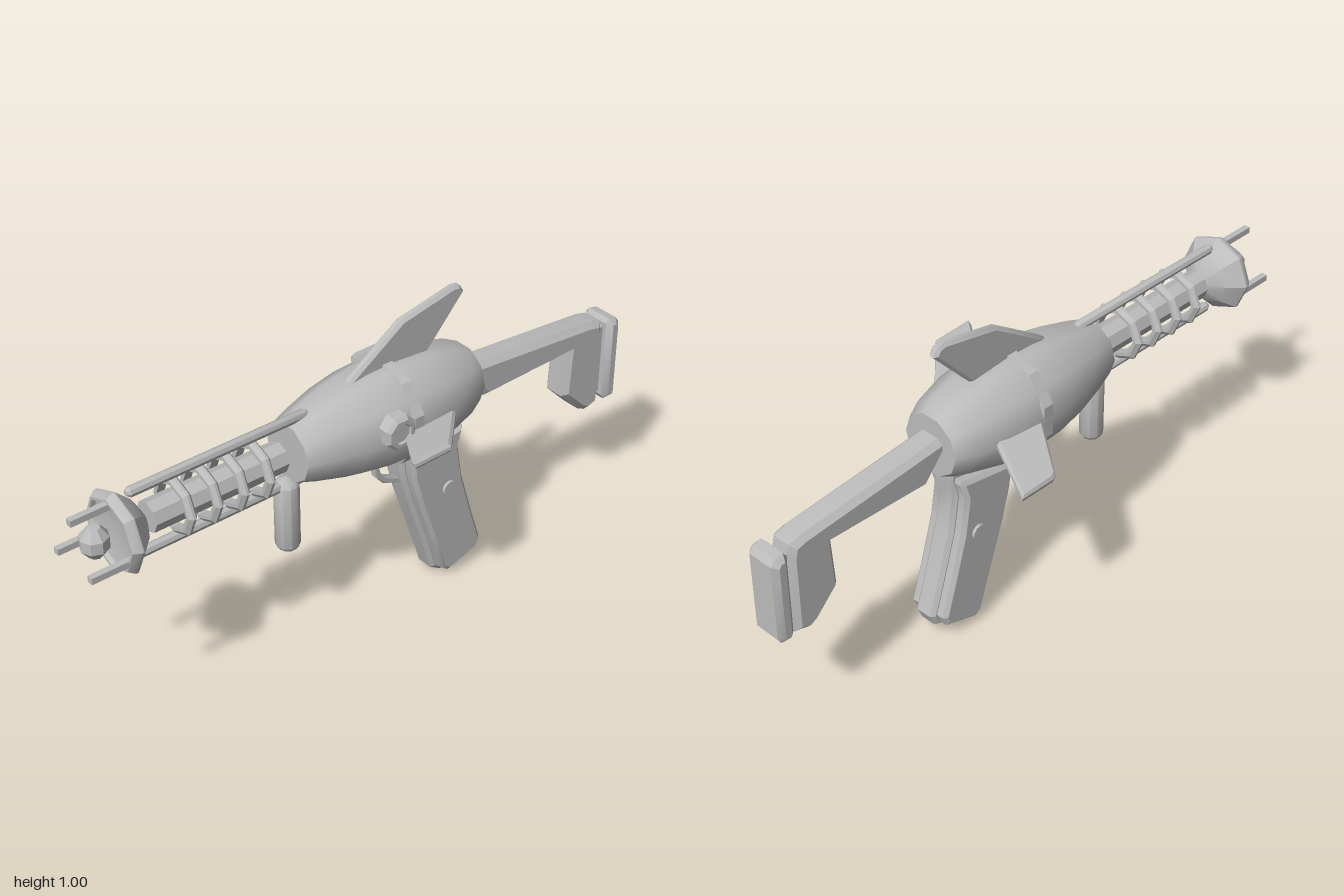
import * as THREE from 'three';
import { toCreasedNormals } from 'three/addons/utils/BufferGeometryUtils.js';

const AXIS_Y = 0.68; // height of the barrel axis
const V = (x, y, z) => new THREE.Vector3(x, y, z);

export function createModel() {
  const model = new THREE.Group();
  model.name = 'rayGun';
  const grey = new THREE.MeshStandardMaterial({ color: 0xbcbcbc });
  grey.name = 'light grey metal';

  const add = (name, geometry, crease = 0.5) => {
    const mesh = new THREE.Mesh(toCreasedNormals(geometry, crease), grey);
    mesh.name = name;
    model.add(mesh);
    return mesh;
  };

  const lathe = (profile, sides, start = 0) =>
    new THREE.LatheGeometry(profile.map(([r, h]) => new THREE.Vector2(r, h)), sides, start);

  // Turned part along z: profile is [radius, z] from back to front
  const turned = (name, profile, sides, crease, y = AXIS_Y, start = Math.PI / 2) =>
    add(name, lathe(profile, sides, start).rotateX(Math.PI / 2).translate(0, y, 0), crease);

  // Bevelled plate: outline in the (u, v) plane, centred on origin along its normal
  const plate = (name, points, thickness, bevel, u = V(0, 0, 1), v = V(0, 1, 0), origin = V(0, 0, 0)) => {
    const shape = new THREE.Shape(points.map(([a, b]) => new THREE.Vector2(a, b)));
    const depth = thickness - 2 * bevel;
    const g = new THREE.ExtrudeGeometry(shape, {
      depth, bevelEnabled: true, bevelThickness: bevel, bevelSize: bevel, bevelOffset: -bevel, bevelSegments: 1,
    });
    g.translate(0, 0, -depth / 2);
    const m = new THREE.Matrix4().makeBasis(u, v, u.clone().cross(v)).setPosition(origin);
    return add(name, g.applyMatrix4(m), 0.45);
  };

  // Main body, and a band turned half a facet so only its corners stand out
  turned('body', [[0, -0.38], [0.1, -0.38], [0.125, -0.33], [0.154, -0.22], [0.165, -0.09],
    [0.161, 0.01], [0.145, 0.11], [0.118, 0.21], [0.094, 0.28], [0, 0.28]], 10, 0.72);
  turned('bodyBand', [[0.15, -0.095], [0.169, -0.09], [0.169, -0.055], [0.15, -0.05]], 10, 0.3, AXIS_Y, 0);

  // Barrel core and cooling hoops standing clear of it
  turned('barrelCore', [[0, 0.31], [0.048, 0.31], [0.048, 0.76], [0, 0.76]], 8, 0.3);
  for (let i = 0; i < 4; i++) {
    const z = 0.4 + i * 0.089;
    turned('coolingHoop', [[0.07, z - 0.014], [0.082, z - 0.014], [0.095, z - 0.004],
      [0.095, z + 0.004], [0.082, z + 0.014], [0.07, z + 0.014], [0.07, z - 0.014]], 8, 0.3);
  }

  // Rods above and below the barrel
  for (const y of [AXIS_Y + 0.106, AXIS_Y - 0.106]) {
    turned('barrelRod', [[0, 0.21], [0.009, 0.21], [0.016, 0.222], [0.016, 0.81], [0.009, 0.82], [0, 0.82]], 8, 0.5, y);
  }

  // Shallow emitter dish, with prongs around a faceted bulb
  turned('emitterDish', [[0, 0.772], [0.028, 0.775], [0.08, 0.805], [0.126, 0.853], [0.126, 0.862],
    [0.113, 0.882], [0.104, 0.882], [0.098, 0.87], [0, 0.85]], 8, 0.55);
  for (let i = 0; i < 3; i++) {
    const a = Math.PI / 2 + (i * Math.PI * 2) / 3;
    const g = new THREE.BoxGeometry(0.02, 0.02, 0.15);
    add('emitterProng', g.translate(Math.cos(a) * 0.094, AXIS_Y + Math.sin(a) * 0.094, 0.925));
  }
  add('emitterBulb', lathe([[0, -0.049], [0.02, -0.047], [0.043, -0.018], [0.043, 0.018], [0.02, 0.047], [0, 0.049]], 8)
    .translate(0, AXIS_Y, 0.928), 0.2);

  // Front grip
  add('foreGrip', lathe([[0, 0.35], [0.028, 0.352], [0.038, 0.366], [0.038, 0.575], [0.028, 0.59], [0, 0.6]], 10)
    .translate(0, 0, 0.288), 0.75);

  // Pistol grip: narrow spine, wider side panels and round buttons
  plate('gripSpine', [[-0.105, 0.53], [-0.34, 0.575], [-0.345, 0.545], [-0.328, 0.48], [-0.348, 0.36],
    [-0.395, 0.2], [-0.432, 0.085], [-0.415, 0.045], [-0.285, 0.0], [-0.245, 0.025], [-0.19, 0.2],
    [-0.145, 0.33], [-0.115, 0.44]], 0.076, 0.012);
  plate('gripPanels', [[-0.125, 0.515], [-0.325, 0.55], [-0.328, 0.535], [-0.312, 0.48], [-0.332, 0.36],
    [-0.379, 0.2], [-0.414, 0.09], [-0.4, 0.055], [-0.285, 0.018], [-0.26, 0.037], [-0.206, 0.2],
    [-0.161, 0.33], [-0.131, 0.44]], 0.146, 0.012);
  for (const side of [1, -1]) {
    add('gripButton', new THREE.CylinderGeometry(0.026, 0.026, 0.02, 12).rotateZ(Math.PI / 2)
      .translate(side * 0.072, 0.345, -0.272), 0.6);
  }

  // Trigger
  plate('trigger', [[-0.025, 0.54], [-0.075, 0.54], [-0.05, 0.505], [-0.052, 0.465], [-0.075, 0.44],
    [-0.13, 0.415], [-0.13, 0.395], [-0.065, 0.42], [-0.035, 0.455]], 0.026, 0.004);

  // Shoulder stock and butt plate
  plate('stock', [[-0.36, 0.72], [-0.88, 0.677], [-0.925, 0.665], [-0.935, 0.62], [-0.935, 0.365],
    [-0.885, 0.35], [-0.855, 0.365], [-0.775, 0.445], [-0.785, 0.6], [-0.44, 0.588], [-0.36, 0.68]], 0.096, 0.018);
  plate('buttPlate', [[-0.945, 0.65], [-0.956, 0.665], [-0.985, 0.66], [-1.0, 0.64], [-1.0, 0.385],
    [-0.988, 0.367], [-0.957, 0.367], [-0.945, 0.385]], 0.12, 0.017);
  add('buttSpacer', new THREE.BoxGeometry(0.06, 0.24, 0.03).translate(0, 0.515, -0.938));

  // Top fin, and side fins tilted about the long axis
  const along = V(0, 0, 1);
  plate('topFin', [[0.77, 0.1], [0.83, 0.065], [0.96, -0.13], [1.0, -0.325], [0.995, -0.35],
    [0.97, -0.365], [0.81, -0.22], [0.77, -0.19]], 0.032, 0.009, V(0, 1, 0), along);
  const tilt = 0.215;
  const u = V(Math.cos(tilt), Math.sin(tilt), 0);
  plate('leftFin', [[0.1, -0.265], [0.165, -0.21], [0.323, -0.055], [0.328, 0.083], [0.31, 0.078],
    [0.17, -0.015], [0.1, -0.05]], 0.026, 0.008, u, along, V(0, 0.647, 0));
  plate('rightFin', [[-0.1, -0.04], [-0.155, -0.09], [-0.32, -0.205], [-0.33, -0.225], [-0.33, -0.345],
    [-0.165, -0.27], [-0.1, -0.24]], 0.026, 0.008, u, along, V(0, 0.713, 0));

  // Octagonal dial on the left side
  add('sideDial', lathe([[0, 0.13], [0.057, 0.13], [0.057, 0.168], [0.046, 0.178], [0.034, 0.178],
    [0.03, 0.172], [0, 0.172]], 8, Math.PI / 8).rotateZ(-Math.PI / 2).translate(0, 0.715, 0.005), 0.3);

  return model;
}
